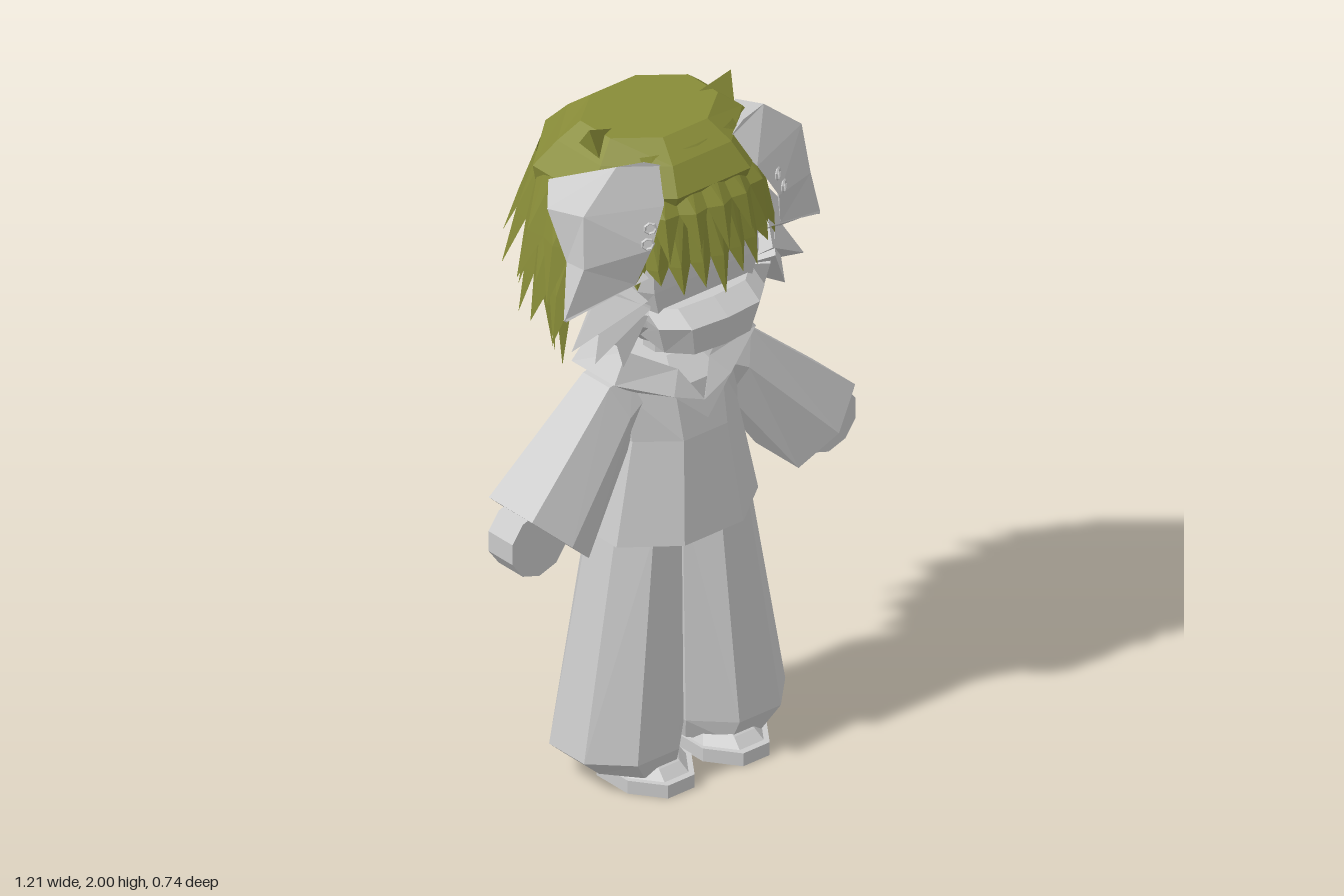
import * as THREE from 'three';

const grey = new THREE.MeshStandardMaterial({ color: 0xcacaca, flatShading: true, side: THREE.DoubleSide });
grey.name = 'pale grey';
const olive = new THREE.MeshStandardMaterial({ color: 0x888c38, flatShading: true, side: THREE.DoubleSide });
olive.name = 'olive green';

// Flat-faced mesh from a list of triangles, turned to face outwards
function facets(name, tris, mat) {
  let volume = 0;
  const c = new THREE.Vector3();
  tris.flat().forEach((p) => c.add(new THREE.Vector3(...p)));
  c.divideScalar(tris.length * 3);
  for (const t of tris) {
    const [a, b, d] = t.map((p) => new THREE.Vector3(...p).sub(c));
    volume += a.dot(b.cross(d));
  }
  if (volume < 0) tris = tris.map(([a, b, d]) => [a, d, b]);
  const g = new THREE.BufferGeometry();
  g.setAttribute('position', new THREE.Float32BufferAttribute(tris.flat(2), 3));
  g.computeVertexNormals();
  const m = new THREE.Mesh(g, mat);
  m.name = name;
  return m;
}

// Skin over equal-length rings of points, with optional end caps
function loft(name, rings, mat, capped = true) {
  const tris = [];
  const n = rings[0].length;
  for (let r = 0; r < rings.length - 1; r++) {
    for (let i = 0; i < n; i++) {
      const j = (i + 1) % n;
      const [a, b, c, d] = [rings[r][i], rings[r][j], rings[r + 1][j], rings[r + 1][i]];
      tris.push([a, b, c], [a, c, d]);
    }
  }
  if (capped) {
    const first = rings[0], last = rings[rings.length - 1];
    for (let i = 1; i < n - 1; i++) {
      tris.push([first[0], first[i + 1], first[i]], [last[0], last[i], last[i + 1]]);
    }
  }
  return facets(name, tris, mat);
}

// Horizontal polygon filling x0..x1 and z0..z1 at height y
function ring(y, x0, x1, z0, z1, n = 8) {
  const k = 1 / Math.cos(Math.PI / n);
  return Array.from({ length: n }, (_, i) => {
    const a = ((i + 0.5) / n) * Math.PI * 2;
    return [(x0 + x1) / 2 + Math.cos(a) * k * (x1 - x0) / 2, y, (z0 + z1) / 2 + Math.sin(a) * k * (z1 - z0) / 2];
  });
}

const mirrored = (s, rings) => rings.map((r) => r.map(([x, y, z]) => [x * s, y, z]));

// Four-sided tuft from a base point to a tip
function tuft(name, base, tip, radius, mat) {
  const a = new THREE.Vector3(...base), b = new THREE.Vector3(...tip);
  const dir = b.clone().sub(a);
  const m = new THREE.Mesh(new THREE.ConeGeometry(radius, dir.length(), 4), mat);
  m.position.copy(a).add(b).multiplyScalar(0.5);
  m.quaternion.setFromUnitVectors(new THREE.Vector3(0, 1, 0), dir.normalize());
  m.name = name;
  return m;
}

// Row of ridged hair locks; angles in degrees from the back, levels are [rx, rz, y]
function locks(name, n, middle, spread, top, mid, tip, rise = 0) {
  const tris = [];
  const at = ([rx, rz, y], deg, k = 1, dy = 0) => {
    const a = THREE.MathUtils.degToRad(deg);
    return [Math.sin(a) * rx * k, y + dy, 0.01 - Math.cos(a) * rz * k];
  };
  for (let i = 0; i < n; i++) {
    const f = (t) => middle + spread * ((2 * (i + t)) / n - 1);
    const lift = rise * Math.abs((2 * (i + 0.5)) / n - 1) + (i % 2 ? 0.025 : 0);
    const [tl, tc, tr] = [at(top, f(0)), at(top, f(0.5)), at(top, f(1))];
    const [ml, mc, mr] = [at(mid, f(0)), at(mid, f(0.5), 1.05), at(mid, f(1))];
    const end = at(tip, f(0.5), 1, lift);
    tris.push([tl, mc, tc], [tl, ml, mc], [tc, mc, tr], [tr, mc, mr], [ml, end, mc], [mc, end, mr]);
  }
  return facets(name, tris, olive);
}

function buildSide(s) {
  const side = new THREE.Group();
  side.name = s > 0 ? 'leftSide' : 'rightSide';
  const add = (name, rings) => side.add(loft(name, mirrored(s, rings), grey));

  // Flared trouser leg
  add('trouserLeg', [
    ring(0.045, 0.02, 0.285, -0.075, 0.255),
    ring(0.11, 0.004, 0.355, -0.07, 0.28),
    ring(0.78, 0.002, 0.235, -0.02, 0.245),
  ]);
  // Shoe sole and upper
  add('shoeSole', [ring(0, 0.02, 0.245, 0.01, 0.32), ring(0.04, 0.02, 0.245, 0.01, 0.32)]);
  add('shoeUpper', [
    ring(0.04, 0.03, 0.235, 0.02, 0.3),
    ring(0.065, 0.045, 0.22, 0.03, 0.27),
    ring(0.1, 0.07, 0.19, 0.03, 0.2),
  ]);
  // Wide sleeve and disc-like hand
  const sleeve = ([tx, ty], [bx, by], z0, z1, inset) => {
    const cx = (tx + bx) / 2, cy = (ty + by) / 2;
    return [[tx, ty, z0 + inset], [tx, ty, z1 - inset], [cx, cy, z1], [bx, by, z1 - inset], [bx, by, z0 + inset], [cx, cy, z0]];
  };
  add('sleeve', [
    sleeve([0.17, 1.25], [0.13, 1.1], 0.02, 0.19, 0.03),
    sleeve([0.25, 1.235], [0.17, 1.05], 0.01, 0.2, 0.04),
    sleeve([0.57, 0.96], [0.37, 0.775], -0.015, 0.265, 0.05),
  ]);
  const hand = new THREE.Mesh(new THREE.CylinderGeometry(0.1, 0.1, 0.1, 10), grey);
  hand.name = 'hand';
  hand.rotation.x = Math.PI / 2;
  hand.position.set(s * 0.51, 0.855, 0.125);
  side.add(hand);

  // Half of the V-necked collar, from the front point to the nape: inner edge, outer edge, underside
  add('collar', [
    [[0, 1.15, 0.262], [0, 1.1, 0.275], [0, 1.1, 0.25]],
    [[0.055, 1.245, 0.215], [0.1, 1.19, 0.252], [0.08, 1.18, 0.22]],
    [[0.19, 1.325, 0.16], [0.25, 1.25, 0.18], [0.18, 1.2, 0.17]],
    [[0.19, 1.325, 0.01], [0.24, 1.24, -0.01], [0.18, 1.2, 0.01]],
    [[0.1, 1.32, -0.035], [0.13, 1.235, -0.05], [0.1, 1.2, -0.01]],
    [[0, 1.32, -0.04], [0, 1.235, -0.05], [0, 1.2, -0.01]],
  ]);

  // Folded floppy ear: front edge, crest, back edge, underside
  add('ear', [
    [[0.11, 1.905, 0.23], [0.175, 1.935, 0.215], [0.315, 1.83, 0.0], [0.2, 1.8, 0.14]],
    [[0.165, 1.825, 0.285], [0.26, 1.945, 0.2], [0.33, 1.845, 0.0], [0.25, 1.79, 0.14]],
    [[0.225, 1.72, 0.305], [0.385, 1.84, 0.21], [0.385, 1.8, 0.06], [0.33, 1.73, 0.16]],
    [[0.255, 1.61, 0.275], [0.4, 1.69, 0.23], [0.385, 1.67, 0.14], [0.34, 1.63, 0.19]],
    [[0.445, 1.54, 0.215], [0.45, 1.545, 0.21], [0.45, 1.54, 0.205], [0.445, 1.535, 0.21]],
  ]);
  // Small ear rings
  [[0.225, 1.785, 0.3], [0.24, 1.745, 0.307]].forEach(([x, y, z], i) => {
    const hoop = new THREE.Mesh(new THREE.TorusGeometry(0.016, 0.004, 4, 7), grey);
    hoop.name = 'earRing' + (i + 1);
    hoop.position.set(s * x, y, z);
    hoop.rotation.y = s * 0.6;
    side.add(hoop);
  });
  // Cheek fur
  [
    [[0.22, 1.62, 0.19], [0.39, 1.54, 0.2], 0.09],
    [[0.22, 1.55, 0.19], [0.41, 1.42, 0.19], 0.095],
    [[0.22, 1.53, 0.2], [0.335, 1.36, 0.2], 0.095],
    [[0.215, 1.5, 0.2], [0.235, 1.31, 0.2], 0.08],
  ].forEach(([b, t, r]) => side.add(tuft('cheekFur', [b[0] * s, b[1], b[2]], [t[0] * s, t[1], t[2]], r, grey)));
  // Pointed tuft on the crown
  const crown = [[0.13, 1.95, 0.05], [0.225, 1.9, -0.01], [0.235, 1.9, 0.11]];
  side.add(loft('crownTuft', mirrored(s, [crown, crown.map(() => [0.25, 2, 0.075])]), olive, false));
  return side;
}

export function createModel() {
  const model = new THREE.Group();
  model.name = 'character';

  // Jacket body and neck
  model.add(loft('jacket', [
    ring(0.75, -0.25, 0.25, -0.08, 0.3),
    ring(1.05, -0.185, 0.185, -0.03, 0.265),
    ring(1.2, -0.2, 0.2, -0.02, 0.235),
    ring(1.26, -0.12, 0.12, 0.01, 0.16),
  ], grey));
  model.add(loft('neck', [ring(1.2, -0.06, 0.06, 0.04, 0.16), ring(1.36, -0.06, 0.06, 0.04, 0.16)], grey));

  // Head with a broad flat face, and muzzle
  const skull = (y, w, z0, z1) => [[-w * 0.75, y, z1], [w * 0.75, y, z1], [w, y, z1 - 0.09], [w, y, z0 + 0.08],
    [w * 0.6, y, z0], [-w * 0.6, y, z0], [-w, y, z0 + 0.08], [-w, y, z1 - 0.09]];
  model.add(loft('head', [
    skull(1.33, 0.12, 0.03, 0.23),
    skull(1.42, 0.2, -0.03, 0.26),
    skull(1.55, 0.245, -0.13, 0.268),
    skull(1.82, 0.245, -0.15, 0.26),
  ], grey));
  const snout = (y, w, z) => [[-w, y, 0.15], [-w * 1.1, y, z - 0.07], [-w * 0.7, y, z - 0.01], [0, y, z],
    [w * 0.7, y, z - 0.01], [w * 1.1, y, z - 0.07], [w, y, 0.15]];
  model.add(loft('muzzle', [snout(1.315, 0.09, 0.25), snout(1.36, 0.14, 0.345), snout(1.45, 0.17, 0.36), snout(1.49, 0.17, 0.3)], grey));

  // Hair cap with rows of locks behind and a fringe in front
  model.add(loft('hairCap', [
    ring(1.72, -0.285, 0.285, -0.23, 0.25),
    ring(1.84, -0.31, 0.31, -0.25, 0.3),
    ring(1.91, -0.25, 0.25, -0.185, 0.25),
    ring(1.96, -0.19, 0.19, -0.12, 0.18),
  ], olive));
  model.add(locks('upperLocks', 11, 0, 107, [0.312, 0.258, 1.84], [0.345, 0.31, 1.67], [0.39, 0.385, 1.5]));
  model.add(locks('middleLocks', 12, 0, 105, [0.3, 0.27, 1.72], [0.325, 0.29, 1.5], [0.355, 0.325, 1.36]));
  model.add(locks('lowerLocks', 13, 0, 98, [0.29, 0.24, 1.62], [0.29, 0.215, 1.42], [0.29, 0.165, 1.255]));
  model.add(locks('fringe', 9, 180, 46, [0.33, 0.28, 1.83], [0.36, 0.315, 1.635], [0.37, 0.34, 1.52], 0.07));
  model.add(locks('upperFringe', 5, 180, 36, [0.28, 0.215, 1.93], [0.34, 0.315, 1.79], [0.36, 0.355, 1.66]));

  model.add(buildSide(1), buildSide(-1));
  return model;
}
